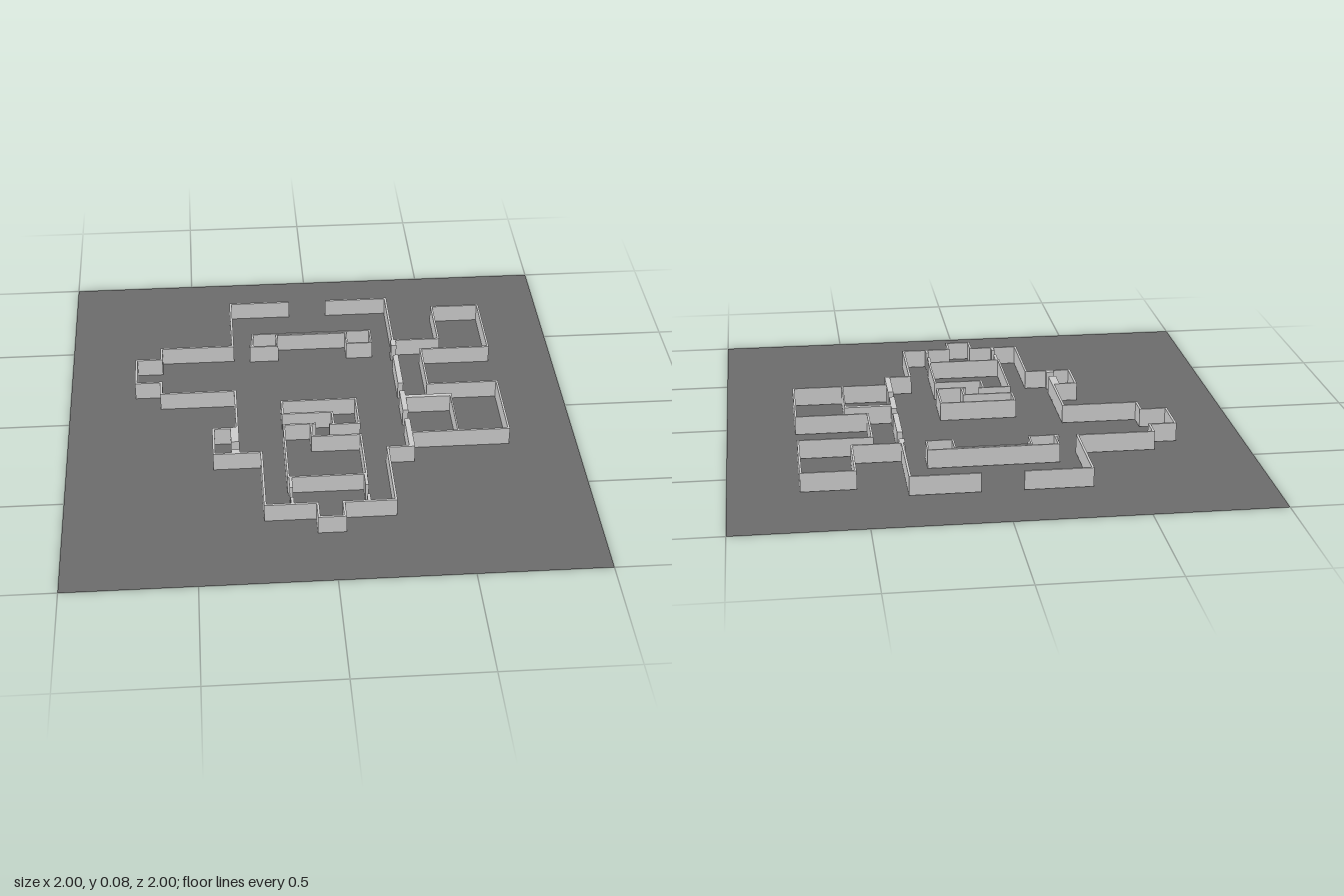
import * as THREE from 'three';

const BASE = 0.003, TOP = 0.077, THICK = 0.009;

export function createModel() {
  const model = new THREE.Group();
  const wallMaterial = new THREE.MeshStandardMaterial({ color: 0xcccccc });
  const groundMaterial = new THREE.MeshStandardMaterial({ color: 0x6b6b6b, side: THREE.DoubleSide });

  // Upright block covering a rectangle of the plan
  function block(name, x0, x1, z0, z1, parent = model) {
    const mesh = new THREE.Mesh(new THREE.BoxGeometry(x1 - x0, TOP - BASE, z1 - z0), wallMaterial);
    mesh.position.set((x0 + x1) / 2, (BASE + TOP) / 2, (z0 + z1) / 2);
    mesh.name = name;
    parent.add(mesh);
  }

  // Run of straight walls along plan points [x, z]
  function walls(name, points, thick = THICK) {
    const group = new THREE.Group();
    group.name = name;
    const h = thick / 2;
    for (let i = 1; i < points.length; i++) {
      const [ax, az] = points[i - 1], [bx, bz] = points[i];
      block('wall', Math.min(ax, bx) - h, Math.max(ax, bx) + h, Math.min(az, bz) - h, Math.max(az, bz) + h, group);
    }
    model.add(group);
  }

  // Ground sheet
  const ground = new THREE.Mesh(new THREE.PlaneGeometry(2, 2), groundMaterial);
  ground.rotation.x = -Math.PI / 2;
  ground.name = 'ground';
  model.add(ground);

  // Outer walls, with a gap at the back for the rear doorway
  walls('rightOuterWalls', [[-0.085, -0.73], [-0.333, -0.73], [-0.333, -0.405], [-0.63, -0.405],
    [-0.63, -0.328], [-0.732, -0.328], [-0.732, -0.164], [-0.63, -0.164], [-0.63, -0.084],
    [-0.333, -0.084], [-0.333, 0.25]]);
  walls('backLeftWalls', [[0.082, -0.73], [0.338, -0.73], [0.338, -0.405]]);
  walls('frontWalls', [[-0.345, 0.166], [-0.427, 0.166], [-0.427, 0.328], [-0.245, 0.328],
    [-0.245, 0.651], [-0.05, 0.651], [-0.05, 0.733], [0.047, 0.733], [0.047, 0.651],
    [0.243, 0.651], [0.243, 0.328], [0.345, 0.328]]);

  // Side rooms on the left
  walls('leftRooms', [[0.338, -0.405], [0.53, -0.405], [0.53, -0.651], [0.729, -0.651],
    [0.729, -0.332], [0.447, -0.332], [0.447, -0.081], [0.729, -0.081], [0.729, 0.24], [0.34, 0.24]], 0.008);
  block('leftRoomDivider', 0.34, 0.534, -0.008, 0.01);
  walls('leftRoomPartition', [[0.53, 0.005], [0.53, 0.24]], 0.006);

  // Thick walls between doorways
  for (const [z0, z1] of [[-0.405, -0.363], [-0.295, -0.092], [-0.04, 0.095], [0.15, 0.332]])
    block('leftDoorwayWall', 0.327, 0.349, z0, z1);
  for (const [z0, z1] of [[0.162, 0.256], [0.305, 0.332]])
    block('rightDoorwayWall', -0.36, -0.328, z0, z1);

  // U-shaped recess at the back of the hall
  walls('backRecess', [[-0.248, -0.487], [0.247, -0.487], [0.247, -0.395], [0.145, -0.395],
    [0.145, -0.474], [-0.147, -0.474], [-0.147, -0.395], [-0.248, -0.395], [-0.248, -0.487]], 0.007);
  block('recessPost', -0.262, -0.244, -0.41, -0.392);

  // Two interlocking rooms in the middle
  walls('upperCentralRoom', [[0.033, 0.166], [0.147, 0.166], [0.147, 0], [-0.15, 0],
    [-0.15, 0.085], [0.046, 0.085], [0.046, 0.166]], 0.008);
  walls('lowerCentralRoom', [[-0.027, 0.158], [-0.15, 0.158], [-0.15, 0.49], [0.147, 0.49],
    [0.147, 0.24], [-0.043, 0.24], [-0.043, 0.158]], 0.008);

  // Partitions of the front hall, each with a doorway
  for (const x of [-0.143, 0.143]) {
    walls('frontPartition', [[x, 0.49], [x, 0.55]], 0.012);
    walls('frontPartitionStub', [[x, 0.618], [x, 0.648]], 0.012);
  }

  return model;
}
